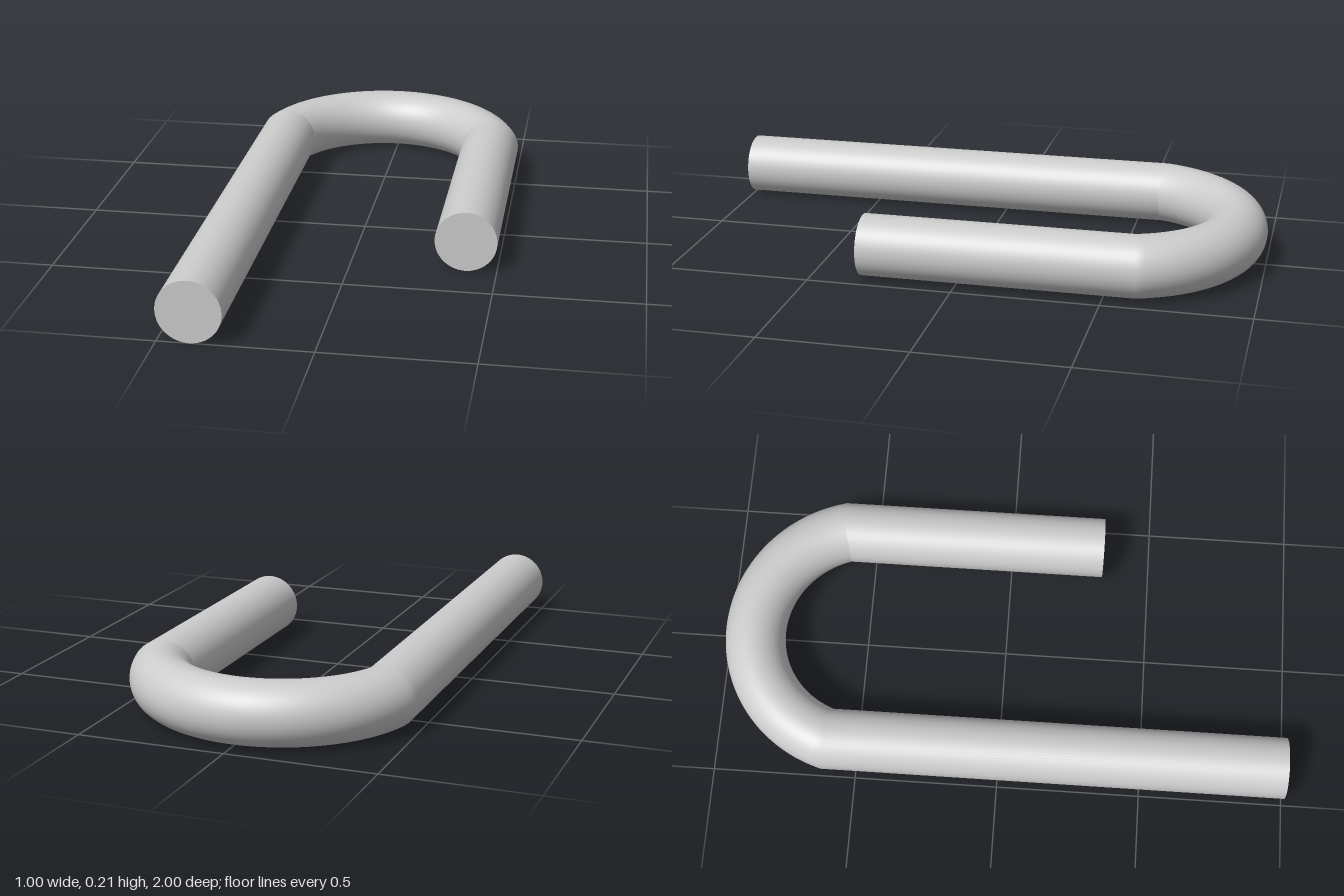
import * as THREE from 'three';

const R = 0.106;        // rod radius
const X = 0.394;        // leg offset from the middle
const BEND_Z = -0.6;    // where the legs meet the bend
const APEX_Z = -1 + R;  // back of the bend's centre line
const SIDES = 64;
const ARC_STEPS = 64;

// Centre line: long leg, shallow circular bend, short leg
function centreLine() {
  const rise = BEND_Z - APEX_Z;
  const radius = (X * X + rise * rise) / (2 * rise);
  const cz = APEX_Z + radius;
  const start = Math.asin((cz - BEND_Z) / radius);
  const points = [new THREE.Vector3(-X, R, 1)];
  for (let i = 0; i <= ARC_STEPS; i++) {
    const t = start + (Math.PI - 2 * start) * i / ARC_STEPS;
    points.push(new THREE.Vector3(-radius * Math.cos(t), R, cz - radius * Math.sin(t)));
  }
  points.push(new THREE.Vector3(X, R, 0.33));
  return points;
}

// Sweep a circle along the path, with mitred rings at every corner
function sweep(path) {
  const up = new THREE.Vector3(0, 1, 0);
  const positions = [], index = [];
  path.forEach((p, i) => {
    const before = p.clone().sub(path[Math.max(i - 1, 0)]).normalize();
    const after = path[Math.min(i + 1, path.length - 1)].clone().sub(p).normalize();
    const tangent = before.clone().add(after).normalize();
    const cosHalf = tangent.dot(i === 0 ? after : before);
    const side = up.clone().cross(tangent).divideScalar(cosHalf);
    for (let j = 0; j < SIDES; j++) {
      const a = j / SIDES * Math.PI * 2;
      const v = p.clone().addScaledVector(side, R * Math.cos(a)).addScaledVector(up, R * Math.sin(a));
      positions.push(v.x, v.y, v.z);
      if (i < path.length - 1) {
        const k = i * SIDES + j, n = i * SIDES + (j + 1) % SIDES;
        index.push(k, n, k + SIDES, n, n + SIDES, k + SIDES);
      }
    }
  });
  const geometry = new THREE.BufferGeometry();
  geometry.setAttribute('position', new THREE.Float32BufferAttribute(positions, 3));
  geometry.setIndex(index);
  geometry.computeVertexNormals();
  return geometry;
}

export function createModel() {
  const group = new THREE.Group();
  group.name = 'bentRod';
  const material = new THREE.MeshStandardMaterial({ color: 0xcccccc });
  const path = centreLine();

  const rod = new THREE.Mesh(sweep(path), material);
  rod.name = 'rod';
  group.add(rod);

  // Flat end faces, both looking forward
  const ends = { longLegEnd: path[0], shortLegEnd: path[path.length - 1] };
  for (const [name, position] of Object.entries(ends)) {
    const cap = new THREE.Mesh(new THREE.CircleGeometry(R, SIDES), material);
    cap.name = name;
    cap.position.copy(position);
    group.add(cap);
  }
  return group;
}
